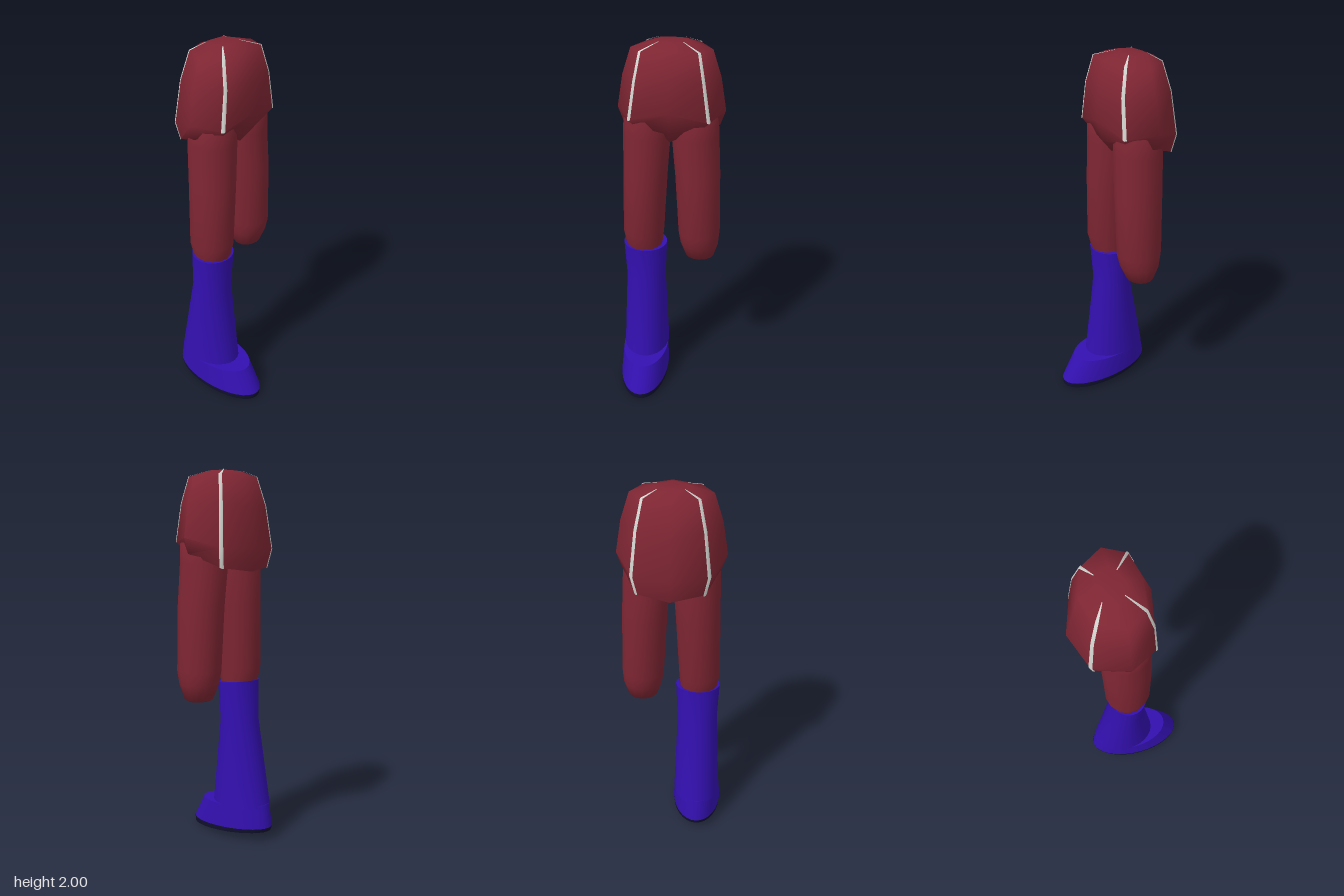
import * as THREE from 'three';
import { toCreasedNormals } from 'three/addons/utils/BufferGeometryUtils.js';

const material = (name, color) => {
  const m = new THREE.MeshStandardMaterial({ color });
  m.name = name;
  return m;
};

// Closed skin over rings of [x, y, z] points, listed from bottom to top
function loft(rings, crease) {
  const n = rings[0].length;
  const points = rings.flat();
  const index = [];
  for (let r = 0; r < rings.length - 1; r++) {
    for (let i = 0; i < n; i++) {
      const a = r * n + i, b = r * n + (i + 1) % n;
      index.push(a, a + n, b, b, a + n, b + n);
    }
  }
  const cap = (r, up) => {
    const centre = [0, 1, 2].map(k => rings[r].reduce((s, p) => s + p[k], 0) / n);
    const c = points.push(centre) - 1;
    for (let i = 0; i < n; i++) {
      const a = r * n + i, b = r * n + (i + 1) % n;
      if (up) index.push(c, b, a); else index.push(c, a, b);
    }
  };
  cap(0, false);
  cap(rings.length - 1, true);
  const g = new THREE.BufferGeometry();
  g.setAttribute('position', new THREE.Float32BufferAttribute(points.flat(), 3));
  g.setIndex(index);
  return toCreasedNormals(g, crease);
}

// Elliptical ring whose height slopes from yBack (at x0) to yFront (at x1)
function oval(n, [x0, x1, z0, z1, yBack, yFront = yBack]) {
  return Array.from({ length: n }, (_, i) => {
    const a = i / n * Math.PI * 2;
    const t = (1 + Math.cos(a)) / 2;
    return [x0 + (x1 - x0) * t, yBack + (yFront - yBack) * t,
      (z0 + z1) / 2 + Math.sin(a) * (z1 - z0) / 2];
  });
}

// Half of each hip ring, top to bottom: front, front corner, side, back corner, back
const HIP_ROWS = [
  [[0, 2, 0], [-0.02, 1.995, 0.06], [-0.05, 1.995, 0.09], [-0.12, 1.995, 0.065], [-0.13, 1.995, 0]],
  [[0.08, 1.98, 0], [0.055, 1.965, 0.145], [-0.05, 1.96, 0.205], [-0.165, 1.965, 0.135], [-0.21, 1.96, 0]],
  [[0.12, 1.85, 0], [0.085, 1.83, 0.17], [-0.05, 1.82, 0.25], [-0.2, 1.82, 0.165], [-0.245, 1.8, 0]],
  [[0.13, 1.68, 0], [0.095, 1.63, 0.2], [-0.05, 1.65, 0.278], [-0.225, 1.6, 0.19], [-0.29, 1.6, 0]],
  [[0.09, 1.56, 0], [0.07, 1.59, 0.17], [-0.05, 1.57, 0.25], [-0.21, 1.5, 0.17], [-0.26, 1.48, 0]],
  [[0.04, 1.5, 0], [0, 1.54, 0.06], [-0.05, 1.54, 0.08], [-0.14, 1.5, 0.08], [-0.17, 1.49, 0]],
];
const hipRings = HIP_ROWS.map(row =>
  [...row, ...[3, 2, 1].map(i => [row[i][0], row[i][1], -row[i][2]])]);

// Thin piping laid over one corner of the hips, tapering to a point on top
function piping(corner, lastRow) {
  const centre = new THREE.Vector3(-0.07, 1.75, 0);
  const points = [], index = [];
  for (let r = 0; r <= lastRow; r++) {
    const ring = hipRings[r].map(p => new THREE.Vector3(...p));
    const mid = ring[corner];
    const half = [0.002, 0.009, 0.01, 0.012, 0.012][r];
    for (const side of [-1, 0, 1]) {
      const p = mid.clone();
      if (side) {
        const to = ring[(corner + side + 8) % 8].clone().sub(mid).normalize();
        p.addScaledVector(to, half);
      }
      p.addScaledVector(p.clone().sub(centre).normalize(), 0.004);
      points.push(...p.toArray());
    }
  }
  for (let r = 0; r < lastRow; r++) {
    for (let s = 0; s < 2; s++) {
      const a = r * 3 + s;
      index.push(a, a + 1, a + 3, a + 1, a + 4, a + 3);
    }
  }
  const g = new THREE.BufferGeometry();
  g.setAttribute('position', new THREE.Float32BufferAttribute(points, 3));
  g.setIndex(index);
  g.computeVertexNormals();
  return g;
}

export function createModel() {
  const group = new THREE.Group();
  const red = material('dark red cloth', 0x7f2633);
  const blue = material('blue boot', 0x3310b0);
  const navy = material('dark sole', 0x10102e);
  const white = material('pale piping', 0xd4d4d0);
  white.side = THREE.DoubleSide;

  const add = (name, geometry, mat) => {
    const mesh = new THREE.Mesh(geometry, mat);
    mesh.name = name;
    group.add(mesh);
  };
  const tube = (name, mat, n, crease, rows) =>
    add(name, loft(rows.map(row => oval(n, row)), crease), mat);

  // Hips with four seams
  add('hips', loft([...hipRings].reverse(), 1.2), red);
  [[1, 3], [3, 4], [5, 4], [7, 3]].forEach(([corner, last]) =>
    add('hipPiping', piping(corner, last), white));

  // Leg that runs into the boot
  tube('bootedThigh', red, 14, 1.2, [
    [-0.12, 0.055, 0.05, 0.235, 0.82],
    [-0.138, 0.072, 0.045, 0.25, 0.88],
    [-0.155, 0.09, 0.038, 0.262, 0.95],
    [-0.162, 0.095, 0.018, 0.255, 1.3],
    [-0.168, 0.092, 0.002, 0.25, 1.52],
    [-0.15, 0.092, 0.01, 0.245, 1.62],
    [-0.11, 0.06, 0.05, 0.2, 1.7],
  ]);

  // Leg with a rounded end
  tube('shortThigh', red, 14, 1.2, [
    [-0.09, 0.025, -0.225, -0.095, 0.8],
    [-0.105, 0.04, -0.24, -0.082, 0.81],
    [-0.14, 0.075, -0.264, -0.053, 0.89],
    [-0.152, 0.092, -0.27, -0.042, 0.96],
    [-0.158, 0.097, -0.262, -0.022, 1.3],
    [-0.165, 0.092, -0.25, -0.002, 1.52],
    [-0.15, 0.092, -0.245, -0.01, 1.62],
    [-0.11, 0.06, -0.2, -0.05, 1.7],
  ]);

  // Boot: flared shaft, foot and sole
  tube('bootShaft', blue, 28, 0.8, [
    [-0.238, 0.122, 0.015, 0.275, 0.18],
    [-0.145, 0.06, 0.032, 0.252, 0.66],
    [-0.14, 0.075, 0.022, 0.262, 0.882, 0.865],
  ]);
  tube('bootFoot', blue, 32, 0.6, [
    [-0.26, 0.29, 0.01, 0.285, 0.07, 0.03],
    [-0.238, 0.21, 0.016, 0.275, 0.197, 0.168],
  ]);
  tube('bootSole', navy, 32, 0.6, [
    [-0.255, 0.288, 0.012, 0.283, 0.05, 0],
    [-0.261, 0.291, 0.009, 0.286, 0.071, 0.03],
  ]);
  return group;
}
